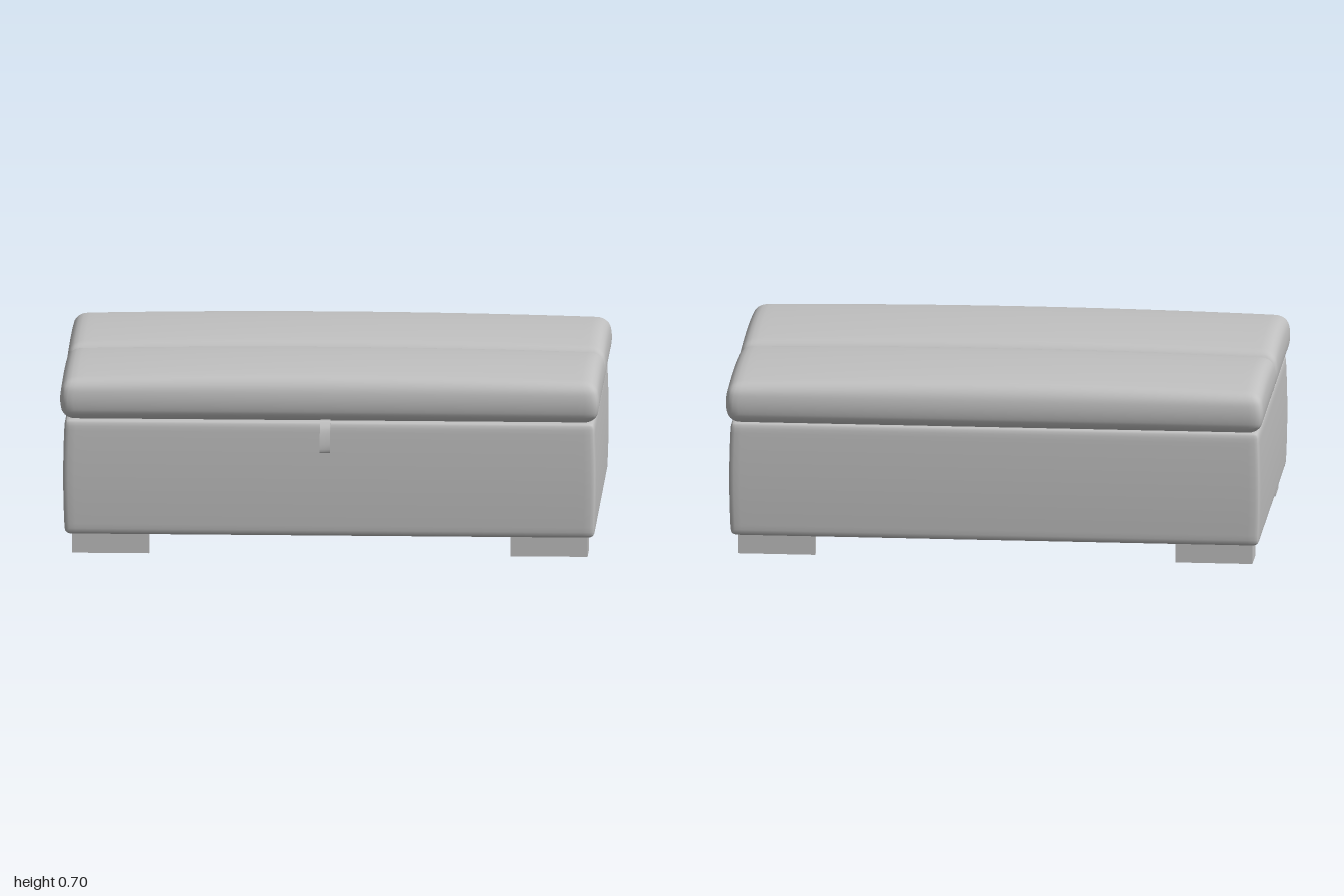
import * as THREE from 'three';
import { mergeVertices } from 'three/addons/utils/BufferGeometryUtils.js';

// Soft upholstered block: rounded edges, sides bulging outward, domed top.
function softBlock(w, h, d, r, bulge, crown, segs) {
  const half = new THREE.Vector3(w / 2, h / 2, d / 2);
  const geo = new THREE.BoxGeometry(2, 2, 2, ...segs);
  geo.deleteAttribute('uv');
  geo.deleteAttribute('normal');
  const pos = geo.attributes.position;
  const p = new THREE.Vector3(), core = new THREE.Vector3();
  const inner = half.clone().subScalar(r), outer = inner.clone().negate();
  const ease = (t) => Math.sin(t * Math.PI / 2); // denser rows near the edges
  for (let i = 0; i < pos.count; i++) {
    p.fromBufferAttribute(pos, i);
    p.set(ease(p.x), ease(p.y), ease(p.z)).multiply(half);
    core.copy(p).clamp(outer, inner);
    p.sub(core).setLength(r).add(core);
    const u = p.x / half.x, v = p.y / half.y, s = p.z / half.z;
    const swell = 1 - v * v;
    p.x += bulge * u * swell;
    p.z += bulge * s * swell;
    p.y += crown * (1 - u * u) * Math.sqrt(Math.max(0, 1 - s * s)) * (v + 1) / 2;
    p.y += crown * 0.5 * (1 - s * s) * u * u * (v + 1) / 2;
    pos.setXYZ(i, p.x, p.y, p.z);
  }
  const smooth = mergeVertices(geo, 1e-5);
  smooth.computeVertexNormals();
  return smooth;
}

export function createModel() {
  const group = new THREE.Group();
  const grey = new THREE.MeshStandardMaterial({ color: 0xc0c0c0 });
  grey.name = 'grey upholstery';

  const add = (name, geo, x = 0, y = 0, z = 0) => {
    const mesh = new THREE.Mesh(geo, grey);
    mesh.name = name;
    mesh.position.set(x, y, z);
    group.add(mesh);
    return mesh;
  };

  // Storage base
  add('base', softBlock(1.966, 0.435, 1.215, 0.022, 0.006, 0, [32, 20, 28]), 0, 0.2935, -0.007);

  // Two lid cushions meeting at a seam
  add('frontCushion', softBlock(1.966, 0.15, 0.592, 0.036, 0.017, 0.037, [40, 20, 32]), 0, 0.584, 0.3);
  add('backCushion', softBlock(1.966, 0.15, 0.592, 0.036, 0.017, 0.037, [40, 20, 32]), 0, 0.584, -0.334);

  // Wedge feet, cut diagonally on the inner side
  for (const sx of [1, -1]) {
    for (const sz of [1, -1]) {
      const zShift = sz > 0 ? 0 : 0.01;
      const outline = [[0.957, 0.565], [0.67, 0.565], [0.67, 0.535], [0.89, 0.435], [0.957, 0.435]]
        .map(([x, z]) => new THREE.Vector2(x * sx, -(z + zShift) * sz));
      const foot = new THREE.ExtrudeGeometry(new THREE.Shape(outline), { depth: 0.09, bevelEnabled: false });
      foot.rotateX(-Math.PI / 2);
      add('foot', foot);
    }
  }

  // Pull strap: a thin band bent along a hanging loop
  const loop = new THREE.CatmullRomCurve3([
    [0.58, 0.512], [0.603, 0.514], [0.624, 0.488], [0.636, 0.44], [0.646, 0.408], [0.641, 0.402],
    [0.644, 0.405], [0.638, 0.403], [0.63, 0.43], [0.618, 0.48], [0.604, 0.508], [0.58, 0.515],
  ].filter((_, i) => i !== 5 && i !== 6).map(([z, y]) => new THREE.Vector3(0, y, z)));
  // Outer run swings wide, so the loop stays open
  loop.points[2].z = 0.612; loop.points[2].y = 0.51;
  loop.points[3].z = 0.634; loop.points[3].y = 0.485;
  const strap = new THREE.BoxGeometry(0.038, 1, 0.004, 1, 40, 1);
  const sp = strap.attributes.position;
  for (let i = 0; i < sp.count; i++) {
    const t = THREE.MathUtils.clamp(0.5 - sp.getY(i), 0, 1);
    const c = loop.getPoint(t), tan = loop.getTangent(t), off = sp.getZ(i);
    sp.setXYZ(i, sp.getX(i), c.y + tan.z * off, c.z - tan.y * off);
  }
  strap.computeVertexNormals();
  add('pullStrap', strap, -0.015);

  return group;
}
